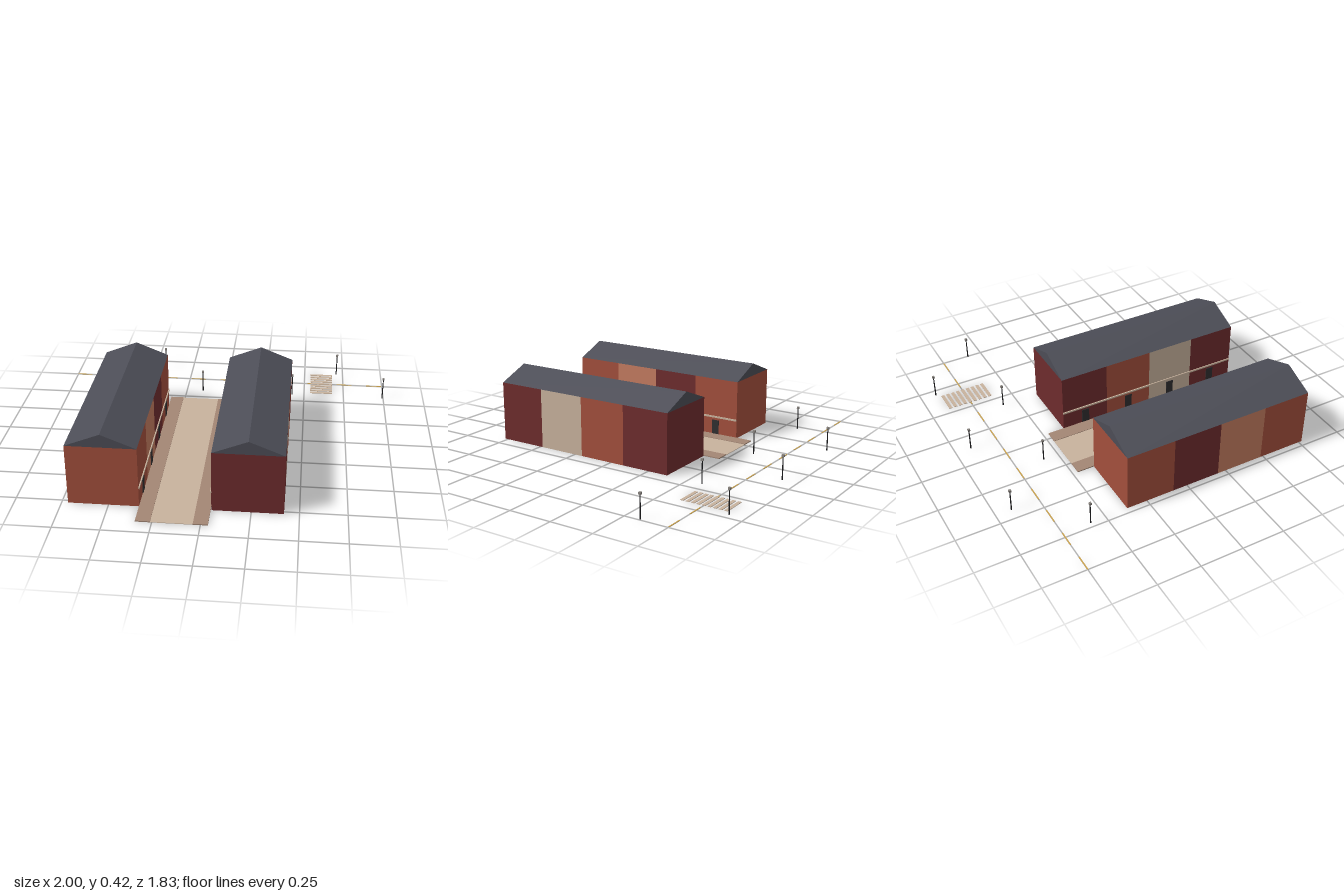
import * as THREE from 'three';

const mat = (name, color) => {
  const m = new THREE.MeshStandardMaterial({ color });
  m.name = name;
  return m;
};

export function createModel() {
  const root = new THREE.Group();
  root.name = 'terraceStreet';

  const brick = mat('brick', 0xa34f3c);
  const darkBrick = mat('darkBrick', 0x6e2c2d);
  const paleBrick = mat('paleBrick', 0xc47b60);
  const cream = mat('cream', 0xc8b29d);
  const slate = mat('slate', 0x4c4d56);
  const paving = mat('paving', 0xa38674);
  const doorDark = mat('doorDark', 0x302e30);
  const iron = mat('iron', 0x1e1e20);
  const lampGrey = mat('lampGrey', 0x8a8580);
  const yellow = mat('yellowPaint', 0xd0a448);

  // box given by its centre in x and z and its base height
  const box = (parent, name, w, h, d, x, y, z, material) => {
    const mesh = new THREE.Mesh(new THREE.BoxGeometry(w, h, d), material);
    mesh.position.set(x, y + h / 2, z);
    mesh.name = name;
    parent.add(mesh);
    return mesh;
  };

  const front = 0.77, back = -0.37;
  const length = front - back, unit = length / 4;
  const width = 0.378, wallTop = 0.345, ridge = 0.42;

  // a row of four houses under one gabled roof; side is the way the doors face
  const terrace = (name, x, side, colors) => {
    const row = new THREE.Group();
    row.name = name;
    const face = x + side * width / 2;
    colors.forEach((c, i) => {
      const z = front - (i + 0.5) * unit;
      box(row, 'house', width, wallTop, unit, x, 0, z, c);
      box(row, 'door', 0.006, 0.085, 0.045, face + side * 0.001, 0.006, z, doorDark);
    });
    box(row, 'ledge', 0.008, 0.01, length, face + side * 0.002, 0.106, (front + back) / 2, cream);

    const gable = new THREE.Shape();
    gable.moveTo(-width / 2, 0);
    gable.lineTo(width / 2, 0);
    gable.lineTo(0, ridge - wallTop);
    gable.closePath();
    const roof = new THREE.Mesh(
      new THREE.ExtrudeGeometry(gable, { depth: length, bevelEnabled: false }), slate);
    roof.position.set(x, wallTop, back);
    roof.name = 'roof';
    row.add(roof);
    root.add(row);
  };
  terrace('rightTerrace', -0.527, 1, [brick, paleBrick, darkBrick, brick]);
  terrace('leftTerrace', 0.231, -1, [darkBrick, cream, brick, darkBrick]);

  // lane with a pavement along each row
  const lane = new THREE.Group();
  lane.name = 'lane';
  box(lane, 'roadway', 0.22, 0.003, 1.38, -0.149, 0, 0.22, cream);
  for (const s of [-1, 1]) {
    box(lane, 'pavement', 0.078, 0.006, 1.38, -0.149 + s * 0.149, 0, 0.22, paving);
  }
  root.add(lane);

  // main road markings
  const markings = new THREE.Group();
  markings.name = 'roadMarkings';
  for (let i = 0; i < 11; i++) {
    box(markings, 'centreDash', 0.095, 0.002, 0.006, -0.9525 + i * 0.19, 0, -0.75, yellow);
  }
  for (let i = 0; i < 9; i++) {
    box(markings, 'crossingStripe', 0.14, 0.003, 0.019, 0.609, 0, -0.876 + i * 0.0315, cream);
  }
  root.add(markings);

  // street lamps, staggered on both sides of the main road
  const lamp = (x, z) => {
    const g = new THREE.Group();
    g.name = 'streetLamp';
    const post = new THREE.Mesh(new THREE.CylinderGeometry(0.003, 0.004, 0.128, 6), iron);
    post.position.y = 0.064;
    post.name = 'lampPost';
    g.add(post);
    box(g, 'lampHead', 0.013, 0.013, 0.013, 0, 0.127, 0, lampGrey);
    g.position.set(x, 0, z);
    root.add(g);
  };
  for (let i = 0; i < 7; i++) lamp(-0.717 + i * 0.285, i % 2 ? -0.909 : -0.588);

  return root;
}
